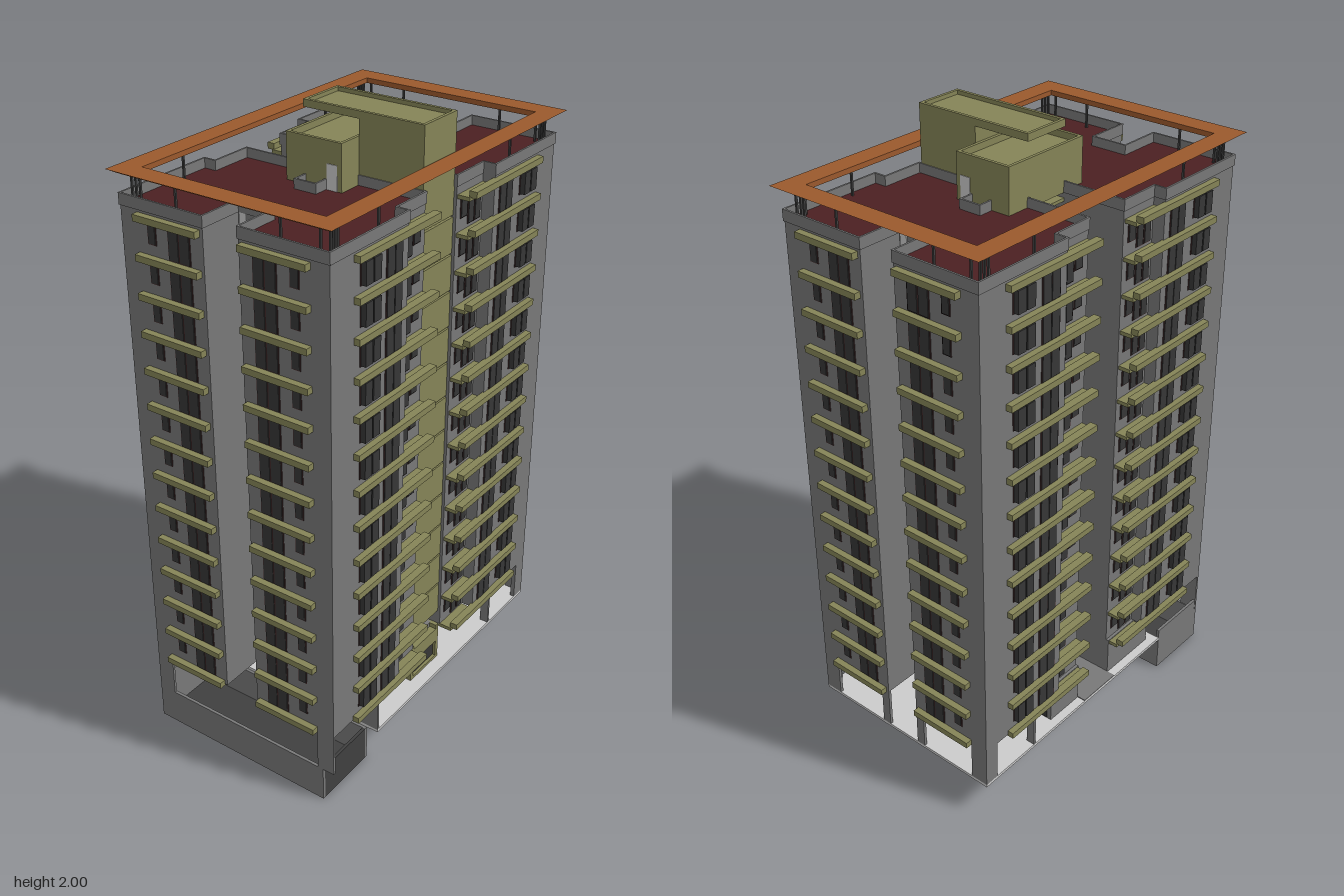
import * as THREE from 'three';
import { mergeGeometries } from 'three/addons/utils/BufferGeometryUtils.js';

const mat = (color) => new THREE.MeshStandardMaterial({ color });
const M = {
  wall: mat(0x787878), light: mat(0xc4c4c4), dark: mat(0x404040), glass: mat(0x363636),
  olive: mat(0x858457), red: mat(0x4b2022), rim: mat(0x9b592d), frame: mat(0x402a2a),
};

// box from min/max limits on each axis
function box(x0, x1, y0, y1, z0, z1) {
  return new THREE.BoxGeometry(Math.abs(x1 - x0), y1 - y0, Math.abs(z1 - z0))
    .translate((x0 + x1) / 2, (y0 + y1) / 2, (z0 + z1) / 2);
}

// plan outline given as [x, z] points, raised from y0 to y1, with optional holes
function prism(pts, y0, y1, holes = []) {
  const toV = (p) => p.map(([x, z]) => new THREE.Vector2(x, -z));
  const shape = new THREE.Shape(toV(pts));
  holes.forEach((h) => shape.holes.push(new THREE.Path(toV(h))));
  return new THREE.ExtrudeGeometry(shape, { depth: y1 - y0, bevelEnabled: false })
    .rotateX(-Math.PI / 2).translate(0, y0, 0);
}
const rect = (x0, x1, z0, z1) => [[x0, z0], [x1, z0], [x1, z1], [x0, z1]];

const FLOORS = 13, FIRST = 0.27, STEP = 0.1152;
const SIGNS = [[1, 1], [1, -1], [-1, -1], [-1, 1]];

// closed rectangular ring swept from a section of [half width, half depth, height]
function ringSweep(section) {
  const pos = [];
  section.forEach((a, i) => {
    const b = section[(i + 1) % section.length];
    SIGNS.forEach((s, k) => {
      const n = SIGNS[(k + 1) % 4];
      const at = (p, [sx, sz]) => [p[0] * sx, p[2], p[1] * sz];
      pos.push(...at(b, s), ...at(b, n), ...at(a, n), ...at(b, s), ...at(a, n), ...at(a, s));
    });
  });
  const g = new THREE.BufferGeometry();
  g.setAttribute('position', new THREE.Float32BufferAttribute(pos, 3));
  g.computeVertexNormals();
  return g;
}

export function createModel() {
  const group = new THREE.Group();
  const add = (name, material, geos) => {
    const list = geos.map((g) => {
      const flat = g.index ? g.toNonIndexed() : g;
      return flat.deleteAttribute('uv');
    });
    const mesh = new THREE.Mesh(mergeGeometries(list), material);
    mesh.name = name;
    group.add(mesh);
  };

  // two wings, each half a plan mirrored in z, with an air shaft; the stairwell lies between them
  const half = [[0.08, 0.31], [0.22, 0.31], [0.22, 0.35], [0.565, 0.35], [0.565, 0.06], [0.42, 0.06]];
  const wings = [1, -1].map((s) => [
    ...half.map(([x, z]) => [x * s, z]),
    ...half.map(([x, z]) => [x * s, -z]).reverse(),
  ]);
  const shafts = [rect(0.155, 0.205, -0.035, 0.035), rect(-0.205, -0.155, -0.035, 0.035)];
  add('towerWalls', M.wall, wings.map((w, i) => prism(w, 0.265, 1.785, [shafts[i]])));
  add('roofDeck', M.red, wings.map((w, i) => prism(w, 1.785, 1.79, [shafts[i]])));

  // parapet along every edge of the plan and round the shafts
  const parapet = [];
  const edgeWalls = (pts) => pts.forEach(([x, z], i) => {
    const [u, w] = pts[(i + 1) % pts.length];
    const t = 0.003;
    parapet.push(box(Math.min(x, u) - t, Math.max(x, u) + t, 1.785, 1.82, Math.min(z, w) - t, Math.max(z, w) + t));
  });
  [...wings, ...shafts].forEach(edgeWalls);
  add('parapet', M.wall, parapet);

  // canopy ring with sloping underside on thin posts
  add('roofCanopy', M.rim, [ringSweep([
    [0.588, 0.373, 1.886], [0.56, 0.345, 1.87], [0.518, 0.305, 1.87], [0.518, 0.305, 1.886],
  ])]);
  const posts = [];
  for (const [sx, sz] of SIGNS) {
    for (const [x, z] of [[0.535, 0.33], [0.52, 0.33], [0.505, 0.33], [0.33, 0.33], [0.535, 0.3], [0.535, 0.175]]) {
      posts.push(box(x * sx - 0.003, x * sx + 0.003, 1.785, 1.873, z * sz - 0.003, z * sz + 0.003));
    }
  }
  add('canopyPosts', M.dark, posts);

  // sill bands and balcony slabs
  const bands = [], slabs = [];
  for (let i = 0; i <= FLOORS; i++) {
    const y = FIRST + i * STEP;
    for (const [sx, sz] of SIGNS) {
      bands.push(box(0.09 * sx, 0.465 * sx, y - 0.01, y + 0.01, 0.345 * sz, 0.37 * sz));
      bands.push(box(0.56 * sx, 0.586 * sx, y - 0.01, y + 0.01, 0.07 * sz, 0.29 * sz));
      slabs.push(box(0.085 * sx, 0.22 * sx, y - 0.02, y - 0.008, 0.302 * sz, 0.35 * sz));
    }
  }
  add('sillBands', M.olive, bands);
  add('balconySlabs', M.olive, slabs);

  // windows: dark panes in slightly larger frames
  const panes = [], frames = [];
  for (let i = 0; i < FLOORS; i++) {
    const y = FIRST + i * STEP;
    for (const [sx, sz] of SIGNS) {
      const front = (x0, x1, z, out, lo, hi) => {
        panes.push(box(x0 * sx, x1 * sx, y + lo, y + hi, (z - 0.01) * sz, (z + out) * sz));
        frames.push(box((x0 - 0.003) * sx, (x1 + 0.003) * sx, y + lo - 0.003, y + hi + 0.003, (z - 0.01) * sz, (z + 0.002) * sz));
      };
      front(0.367, 0.399, 0.35, 0.018, 0.033, 0.1);
      front(0.404, 0.436, 0.35, 0.018, 0.033, 0.1);
      front(0.25, 0.283, 0.35, 0.004, 0.012, 0.1);
      front(0.286, 0.319, 0.35, 0.004, 0.012, 0.1);
      front(0.105, 0.135, 0.31, 0.004, 0.033, 0.1);
      front(0.145, 0.172, 0.31, 0.004, 0.005, 0.1);
      front(0.18, 0.207, 0.31, 0.004, 0.005, 0.1);
      const side = (z0, z1, lo, hi) => {
        panes.push(box(0.555 * sx, 0.569 * sx, y + lo, y + hi, z0 * sz, z1 * sz));
        frames.push(box(0.555 * sx, 0.567 * sx, y + lo - 0.003, y + hi + 0.003, (z0 - 0.003) * sz, (z1 + 0.003) * sz));
      };
      side(0.108, 0.141, 0.015, 0.1);
      side(0.147, 0.18, 0.015, 0.1);
      side(0.228, 0.252, 0.045, 0.1);
      if (sz > 0) panes.push(box(0.415 * sx, 0.426 * sx, y + 0.033, y + 0.095, -0.028, 0.028));
    }
  }
  add('windowPanes', M.glass, panes);
  add('windowFrames', M.frame, frames);

  // pale strips beside the windows in the side recesses
  add('recessStrips', M.light, SIGNS.map(([sx, sz]) => box(0.415 * sx, 0.423 * sx, 0.265, 1.785, 0.032 * sz, 0.056 * sz)));

  // open stairwell: front spandrels, two landings and two flights per floor
  const stair = [];
  for (let i = 0; i < FLOORS; i++) {
    const y = FIRST + i * STEP;
    stair.push(box(-0.078, 0.078, y + 0.048, y + 0.157, 0.292, 0.302));
    stair.push(box(-0.08, 0.08, y + 0.048, y + 0.058, 0.2, 0.292));
    stair.push(box(-0.08, 0.08, y + 0.106, y + 0.116, -0.1, 0));
    for (const s of [1, -1]) {
      stair.push(new THREE.BoxGeometry(0.072, 0.01, 0.208).rotateX(s * 0.28)
        .translate(s * 0.039, y + (s > 0 ? 0.082 : 0.14), 0.1));
    }
  }
  add('stairwell', M.olive, stair);

  // rooftop stair tower, machine room and overhanging tray roof
  const top = [];
  const lip = (x, z0, z1, y0, y1) => {
    const t = 0.01;
    for (const s of [1, -1]) top.push(box(s * (x - t), s * x, y0, y1, z0, z1));
    top.push(box(-x + t, x - t, y0, y1, z0, z0 + t), box(-x + t, x - t, y0, y1, z1 - t, z1));
  };
  top.push(box(-0.08, 0.08, 1.77, 1.978, 0.09, 0.302));
  top.push(box(-0.08, 0.08, 1.978, 1.988, -0.1, 0.302));
  lip(0.08, -0.1, 0.302, 1.988, 2.0);
  top.push(box(-0.16, 0.16, 1.785, 1.91, -0.1, 0.09));
  lip(0.16, -0.1, 0.09, 1.91, 1.93);
  add('rooftopRooms', M.olive, top);
  add('rooftopDoors', M.light, [1, -1].map((s) => box(0.155 * s, 0.162 * s, 1.79, 1.865, 0.04, 0.075)));

  // ground floor: slab, core walls, columns
  add('groundSlab', M.light, [prism(rect(-0.335, 0.565, -0.35, 0.35), 0.12, 0.13, shafts)]);
  add('rearPaving', M.wall, [box(-0.08, 0.08, 0.13, 0.133, -0.35, -0.1)]);
  const core = [
    [-0.08, 0.28], [0.08, 0.28], [0.08, 0.12], [0.22, 0.12], [0.22, -0.32], [0.08, -0.32],
    [0.08, -0.1], [-0.08, -0.1], [-0.08, -0.32], [-0.3, -0.32], [-0.3, 0.12], [-0.08, 0.12],
  ];
  add('groundWalls', M.wall, [prism(core, 0.13, 0.265, shafts), box(-0.335, -0.327, 0.13, 0.265, 0.1, 0.35)]);
  const columns = [];
  for (const sz of [1, -1]) {
    columns.push(box(0.515, 0.565, 0.13, 0.265, 0.335 * sz, 0.35 * sz));
    columns.push(box(0.555, 0.565, 0.13, 0.265, 0.29 * sz, 0.35 * sz));
    columns.push(box(0.332, 0.34, 0.13, 0.265, 0.32 * sz, 0.35 * sz));
    columns.push(box(0.555, 0.565, 0.13, 0.265, 0.06 * sz, 0.09 * sz));
    columns.push(box(-0.565, -0.557, 0.12, 0.265, 0.29 * sz, 0.35 * sz));
  }
  add('groundColumns', M.wall, columns);
  add('sideDoors', M.glass, [box(0.215, 0.224, 0.135, 0.255, -0.305, -0.2), box(0.215, 0.224, 0.135, 0.255, -0.195, -0.09)]);

  // front entrance
  add('entranceFrame', M.olive, [
    box(-0.08, -0.066, 0.13, 0.265, 0.27, 0.305), box(0.066, 0.08, 0.13, 0.265, 0.27, 0.305),
    box(-0.066, 0.066, 0.2, 0.25, 0.27, 0.305), box(-0.066, 0.066, 0.13, 0.14, 0.27, 0.305),
  ]);
  add('entranceDoor', M.glass, [box(-0.066, 0.066, 0.14, 0.2, 0.275, 0.295)]);

  // sunken parking pit under the right end
  add('pitWalls', M.wall, [
    box(-0.565, -0.555, 0, 0.12, -0.35, 0.31), box(-0.345, -0.335, 0, 0.12, -0.35, 0.31),
    box(-0.555, -0.335, 0, 0.16, -0.35, -0.34),
  ]);
  add('pitFloor', M.dark, [box(-0.555, -0.345, 0, 0.01, -0.34, 0.31), box(-0.555, -0.345, 0.01, 0.12, 0.3, 0.31)]);
  return group;
}
